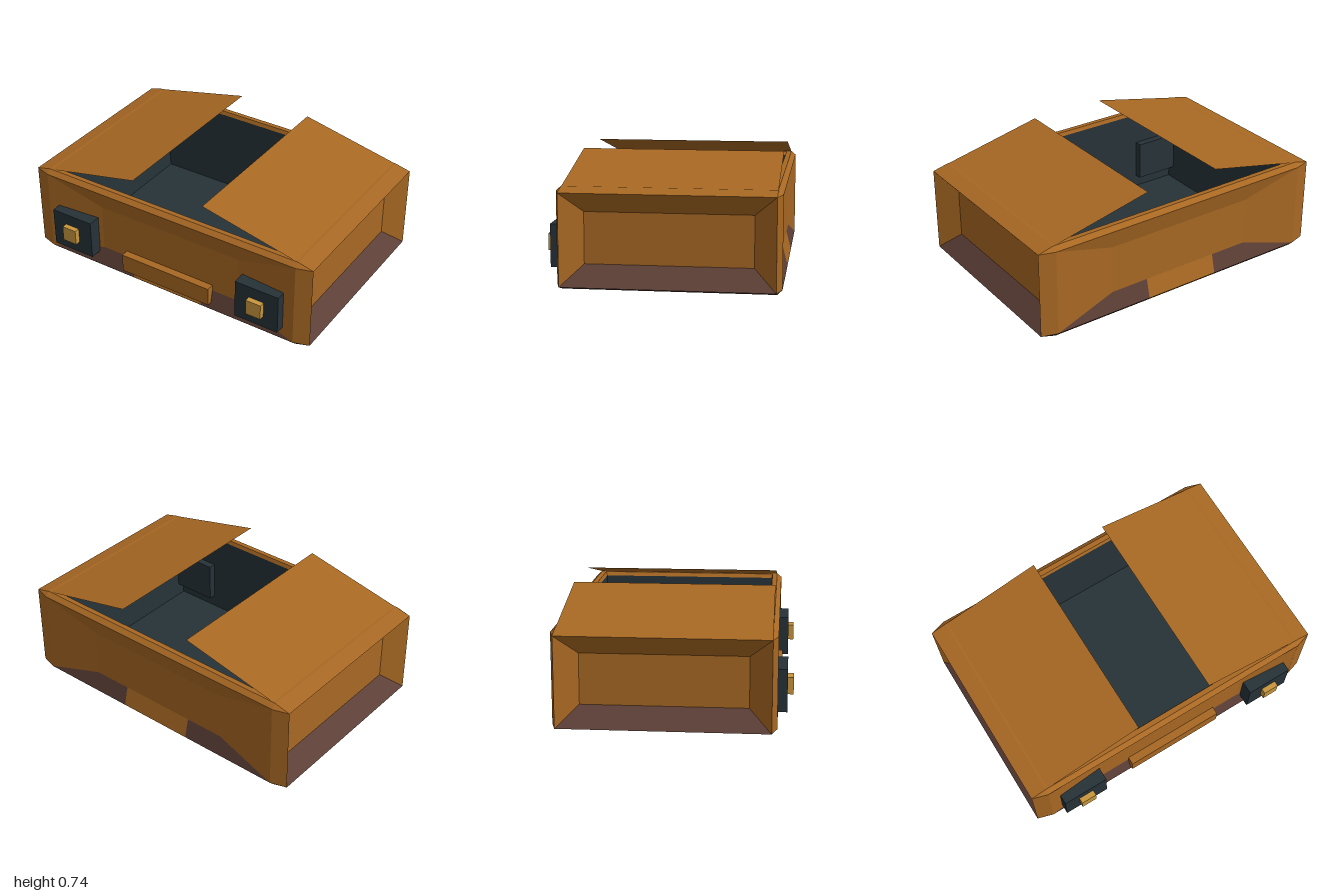
import * as THREE from 'three';

const flat = (name, color, side = THREE.FrontSide) =>
  Object.assign(new THREE.MeshStandardMaterial({ color, side, flatShading: true }), { name });

// Flat polygons whose faces all turn away from (dir 1) or towards (dir -1) the case centre
function polyMesh(name, polys, material, dir = 1) {
  const pos = [], centre = new THREE.Vector3(0, 0.3, 0);
  for (const poly of polys) {
    const p = poly.map(c => new THREE.Vector3(...c));
    const n = p[1].clone().sub(p[0]).cross(p[2].clone().sub(p[0]));
    const mid = p.reduce((s, v) => s.add(v), new THREE.Vector3()).divideScalar(p.length).sub(centre);
    if (n.dot(mid) * dir < 0) p.reverse();
    for (let i = 1; i < p.length - 1; i++)
      for (const v of [p[0], p[i], p[i + 1]]) pos.push(v.x, v.y, v.z);
  }
  const g = new THREE.BufferGeometry();
  g.setAttribute('position', new THREE.Float32BufferAttribute(pos, 3));
  g.computeVertexNormals();
  const mesh = new THREE.Mesh(g, material);
  mesh.name = name;
  return mesh;
}

// Quads joining two rings of corners
const bridge = (a, b) => a.map((p, i) => {
  const j = (i + 1) % a.length;
  return [p, a[j], b[j], b[i]];
});

function box(name, material, x0, x1, y0, y1, z0, z1) {
  const m = new THREE.Mesh(new THREE.BoxGeometry(x1 - x0, y1 - y0, z1 - z0), material);
  m.position.set((x0 + x1) / 2, (y0 + y1) / 2, (z0 + z1) / 2);
  m.name = name;
  return m;
}

export function createModel() {
  const leather = flat('tan leather', 0xa86823);
  const flapLeather = leather.clone();
  flapLeather.side = THREE.DoubleSide;
  const brown = flat('dark brown base', 0x5d4037);
  const navy = flat('dark slate', 0x263238);
  const gold = flat('brass', 0xc8963e);

  const model = new THREE.Group();
  model.name = 'case';
  const body = new THREE.Group();
  body.name = 'caseBody';
  body.position.z = -0.045;
  model.add(body);

  // Half sizes: chamfered edges, rims and sunken panels
  const X = 1, XR = 0.9, XP = 0.5, S = 0.25;
  const Z = 0.62, ZR = 0.65, ZP = 0.49;
  const Y0 = 0.03, Y1 = 0.575, P0 = 0.15, P1 = 0.455, H = 0.6;
  const tan = [], dark = [];

  for (const f of [1, -1]) {
    const r = f * ZR, e = f * Z; // rim and inner panel depth of this long side
    // Sunken long panel and its sloping borders
    tan.push([[-XP, P0, e], [XP, P0, e], [XP, P1, e], [-XP, P1, e]]);
    tan.push([[-XR, Y1, r], [XR, Y1, r], [XP, P1, e], [-XP, P1, e]]);
    tan.push([[-XR, Y1, r], [XR, Y1, r], [XR, H, e], [-XR, H, e]]);
    // Centre strap at the lower edge
    tan.push([[-S, Y0, r], [S, Y0, r], [S, P0, e], [-S, P0, e]]);
    tan.push([[-S, Y0, r], [S, Y0, r], [S, 0, e], [-S, 0, e]]);
    for (const s of [1, -1]) {
      const x = s * X, xr = s * XR, xp = s * XP, xs = s * S;
      tan.push([[xr, Y0, r], [xr, Y1, r], [xp, P1, e], [xp, P0, e]]);
      tan.push([[xr, Y0, r], [xr, Y1, r], [x, Y1, e], [x, Y0, e]]);
      tan.push([[xr, Y1, r], [x, Y1, e], [xr, H, e]]);
      // Dark lower corners
      dark.push([[xs, Y0, r], [xr, Y0, r], [xp, P0, e], [xs, P0, e]]);
      dark.push([[xs, Y0, r], [xr, Y0, r], [xr, 0, e], [xs, 0, e]]);
      dark.push([[xr, Y0, r], [x, Y0, e], [xr, 0, e]]);
    }
  }

  // Deep sunken ends
  for (const s of [1, -1]) {
    const x = s * X, xr = s * XR;
    const outer = [[x, Y0, Z], [x, Y0, -Z], [x, Y1, -Z], [x, Y1, Z]];
    const inner = [[xr, P0, ZP], [xr, P0, -ZP], [xr, P1, -ZP], [xr, P1, ZP]];
    const [low, ...rest] = bridge(outer, inner);
    dark.push(low);
    tan.push(...rest, inner);
    tan.push([[x, Y1, Z], [x, Y1, -Z], [xr, H, -Z], [xr, H, Z]]);
    dark.push([[x, Y0, Z], [x, Y0, -Z], [xr, 0, -Z], [xr, 0, Z]]);
    dark.push([[s * S, 0, Z], [s * S, 0, -Z], [xr, 0, -Z], [xr, 0, Z]]);
  }
  tan.push([[-S, 0, Z], [S, 0, Z], [S, 0, -Z], [-S, 0, -Z]]);

  // Top rim, inner lip and lining
  const ring = (x, y, z) => [[-x, y, z], [x, y, z], [x, y, -z], [-x, y, -z]];
  const edge = ring(0.87, H, 0.588), lip = ring(0.855, 0.575, 0.58), floor = ring(0.82, 0.03, 0.575);
  tan.push(...bridge(ring(XR, H, Z), edge));
  body.add(polyMesh('shell', tan, leather));
  body.add(polyMesh('darkCorners', dark, brown));
  body.add(polyMesh('innerLip', bridge(edge, lip), leather, -1));
  body.add(polyMesh('lining', [...bridge(lip, floor), floor], navy, -1));

  // Raised flaps, hinged on the end rims
  for (const s of [1, -1])
    body.add(polyMesh(s > 0 ? 'leftFlap' : 'rightFlap',
      [[[s * X, Y1, Z], [s * X, Y1, -Z], [s * S, 0.74, -Z], [s * S, 0.74, Z]]], flapLeather));

  // Handle and latches on the front
  model.add(box('handle', leather, -0.32, 0.32, 0.07, 0.19, 0.56, 0.625));
  for (const s of [1, -1]) {
    const latch = new THREE.Group();
    latch.name = s > 0 ? 'leftLatch' : 'rightLatch';
    const c = s * 0.68;
    latch.add(box('latchPlate', navy, c - 0.147, c + 0.147, 0.11, 0.365, 0.485, 0.66));
    latch.add(box('latchStud', gold, c - 0.05, c + 0.05, 0.19, 0.29, 0.65, 0.695));
    model.add(latch);
  }
  return model;
}
